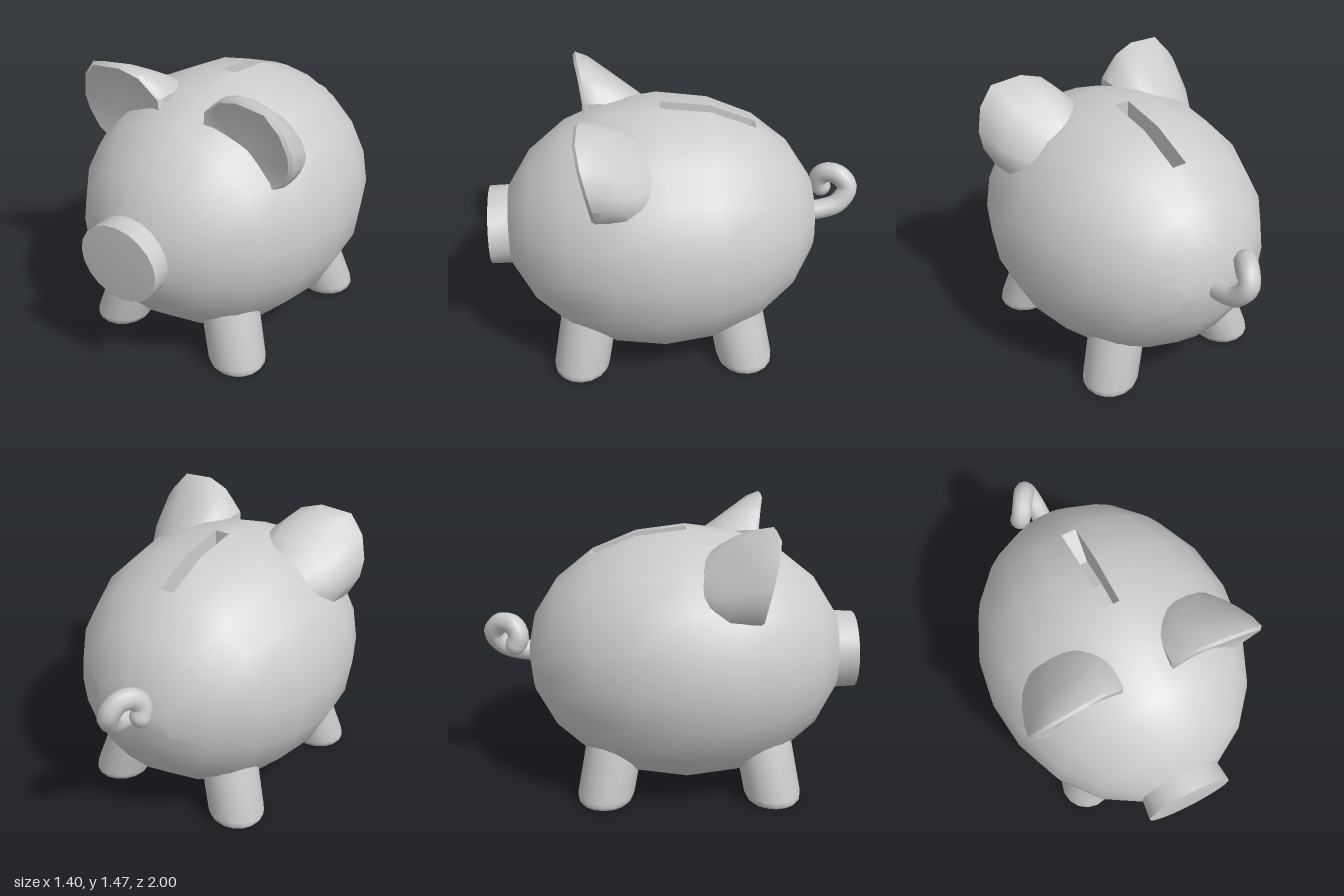
import * as THREE from 'three';
import { toCreasedNormals } from 'three/addons/utils/BufferGeometryUtils.js';

const grey = new THREE.MeshStandardMaterial({ color: 0xcccccc });
const greyDouble = new THREE.MeshStandardMaterial({ color: 0xcccccc, side: THREE.DoubleSide });
const CY = 0.7, CZ = 0.077; // body centre
const RX = 0.7, RY = 0.68, RZ = 0.845; // body radii
const SLOT = 0.04; // half width of the coin slot

// Skin between rows of points; rows run front to back, points clockwise from the front.
function skin(rows, { closed = false, flip = false, skip = () => false, crease = 0.7 } = {}) {
  const n = rows[0].length, pos = rows.flat().flatMap(p => p.toArray()), index = [];
  for (let i = 0; i < rows.length - 1; i++) {
    for (let j = 0; j < (closed ? n : n - 1); j++) {
      if (skip(i, j)) continue;
      const k = (j + 1) % n;
      const a = i * n + j, b = i * n + k, c = a + n, d = b + n;
      index.push(...(flip ? [a, c, b, b, c, d] : [a, b, c, b, d, c]));
    }
  }
  const geo = new THREE.BufferGeometry();
  geo.setAttribute('position', new THREE.Float32BufferAttribute(pos, 3));
  geo.setIndex(index);
  return toCreasedNormals(geo, crease);
}

// Moves each vertex of a geometry by a rule.
function warp(geo, rule) {
  const p = geo.attributes.position, v = new THREE.Vector3();
  for (let i = 0; i < p.count; i++) {
    v.fromBufferAttribute(p, i);
    rule(v);
    p.setXYZ(i, v.x, v.y, v.z);
  }
  return geo;
}

function add(group, name, geometry, material = grey) {
  const mesh = new THREE.Mesh(geometry, material);
  mesh.name = name;
  group.add(mesh);
  return mesh;
}

// Rings of the ellipsoid body; the first two columns border the slot.
function bodyRows() {
  const rows = [];
  for (let i = 0; i <= 10; i++) {
    const th = i * Math.PI / 10, s = Math.sin(th);
    const edge = Math.asin(Math.min(SLOT / (RX * Math.max(s, 0.01)), 0.2));
    const cols = [-edge, edge];
    for (let j = 1; j < 20; j++) cols.push(j * Math.PI / 10);
    cols.push(2 * Math.PI - edge);
    rows.push(cols.map(f => new THREE.Vector3(
      RX * s * Math.sin(f), CY + RY * s * Math.cos(f), CZ + RZ * Math.cos(th))));
  }
  return rows;
}

// Walls and curved floor of the coin slot, following the body rings.
function slotGeometry(rows) {
  const sink = p => new THREE.Vector3(p.x, CY + (p.y - CY) * 0.74, CZ + (p.z - CZ) * 0.74);
  const across = rows.slice(5, 8).map(r => [r[0], sink(r[0]), sink(r[1]), r[1]]);
  const tris = [];
  const quad = (a, b, c, d) => tris.push(a, b, c, a, c, d);
  for (let i = 0; i < 2; i++) {
    for (let j = 0; j < 3; j++) {
      quad(across[i][j], across[i][j + 1], across[i + 1][j + 1], across[i + 1][j]);
    }
  }
  quad(...[...across[0]].reverse());
  quad(...across[2]);
  const geo = new THREE.BufferGeometry().setFromPoints(tris);
  geo.computeVertexNormals();
  return geo;
}

// Scooped ear: an arch outline lofted back into the body. side = 1 is left.
function earGeometry(side) {
  // outline across (t) and outward from (u) the body
  const outline = [
    [-0.264, 0.014], [-0.246, 0.097], [-0.229, 0.162], [-0.155, 0.25], [-0.004, 0.33],
    [0.114, 0.293], [0.208, 0.211], [0.251, 0.126], [0.262, 0.017], [0.2, -0.1], [0, -0.13], [-0.2, -0.1],
  ];
  // depth, scale across, scale outward
  const sections = [
    [0.055, 0, 0], [0, 0.95, 0.95], [0.015, 1, 1], [0.08, 1, 0.92], [0.17, 0.96, 0.7],
    [0.25, 0.84, 0.5], [0.33, 0.62, 0.3], [0.38, 0.35, 0.15], [0.4, 0, 0],
  ];
  const rows = sections.map(([depth, st, su]) => outline.map(([t, u]) => {
    t *= st;
    u *= su;
    const y = 1.175 - 0.54 * t + 0.84 * u;
    const z = 0.49 + 0.11 * (y - 1.2) - 0.5 * t * t - depth;
    return new THREE.Vector3(side * (0.345 + 0.84 * t + 0.54 * u), y, z);
  }));
  return skin(rows, { closed: true, flip: side < 0, crease: 0.75 });
}

// Leg splaying outward and away from the middle, with a flat sole.
function legGeometry(sx, sz) {
  const profile = [[0, 0], [0.127, 0], [0.142, 0.015], [0.149, 0.04], [0.152, 0.48]]
    .map(p => new THREE.Vector2(...p));
  const geo = warp(new THREE.LatheGeometry(profile, 16), v => {
    v.x += sx * (0.388 - 0.31 * v.y);
    v.z += 0.09 + sz * (0.447 - 0.19 * v.y);
  });
  return toCreasedNormals(geo, 0.75);
}

// Oval snout with a barely domed front.
function snoutGeometry() {
  const profile = [[0.207, 0.8], [0.207, 0.885], [0.2, 0.985], [0, 0.998]]
    .map(p => new THREE.Vector2(...p));
  const geo = new THREE.LatheGeometry(profile, 20).rotateX(Math.PI / 2);
  warp(geo, v => {
    v.x *= v.z > 0.9 ? 1.15 : 1.06;
    v.y += CY;
  });
  return toCreasedNormals(geo, 0.6);
}

export function createModel() {
  const group = new THREE.Group();
  group.name = 'piggyBank';

  // Body with an open coin slot on its back
  const rows = bodyRows();
  add(group, 'body', skin(rows, { skip: (i, j) => j === 0 && (i === 5 || i === 6) }));
  add(group, 'coinSlot', slotGeometry(rows), greyDouble);

  add(group, 'snout', snoutGeometry());

  // Ears and legs
  for (const [side, sx] of [['left', 1], ['right', -1]]) {
    add(group, side + 'Ear', earGeometry(sx));
    add(group, side + 'FrontLeg', legGeometry(sx, 1));
    add(group, side + 'BackLeg', legGeometry(sx, -1));
  }

  // Curly tail with a rounded tip
  const path = new THREE.CatmullRomCurve3([
    [0, 0.7, -0.68], [0, 0.71, -0.8], [-0.005, 0.74, -0.89], [-0.03, 0.82, -0.944],
    [-0.06, 0.882, -0.9], [-0.1, 0.88, -0.83], [-0.123, 0.825, -0.803], [-0.125, 0.78, -0.82],
  ].map(p => new THREE.Vector3(...p)));
  add(group, 'tail', new THREE.TubeGeometry(path, 28, 0.055, 10));
  add(group, 'tailTip', new THREE.SphereGeometry(0.055, 10, 8)).position.copy(path.getPoint(1));

  return group;
}
